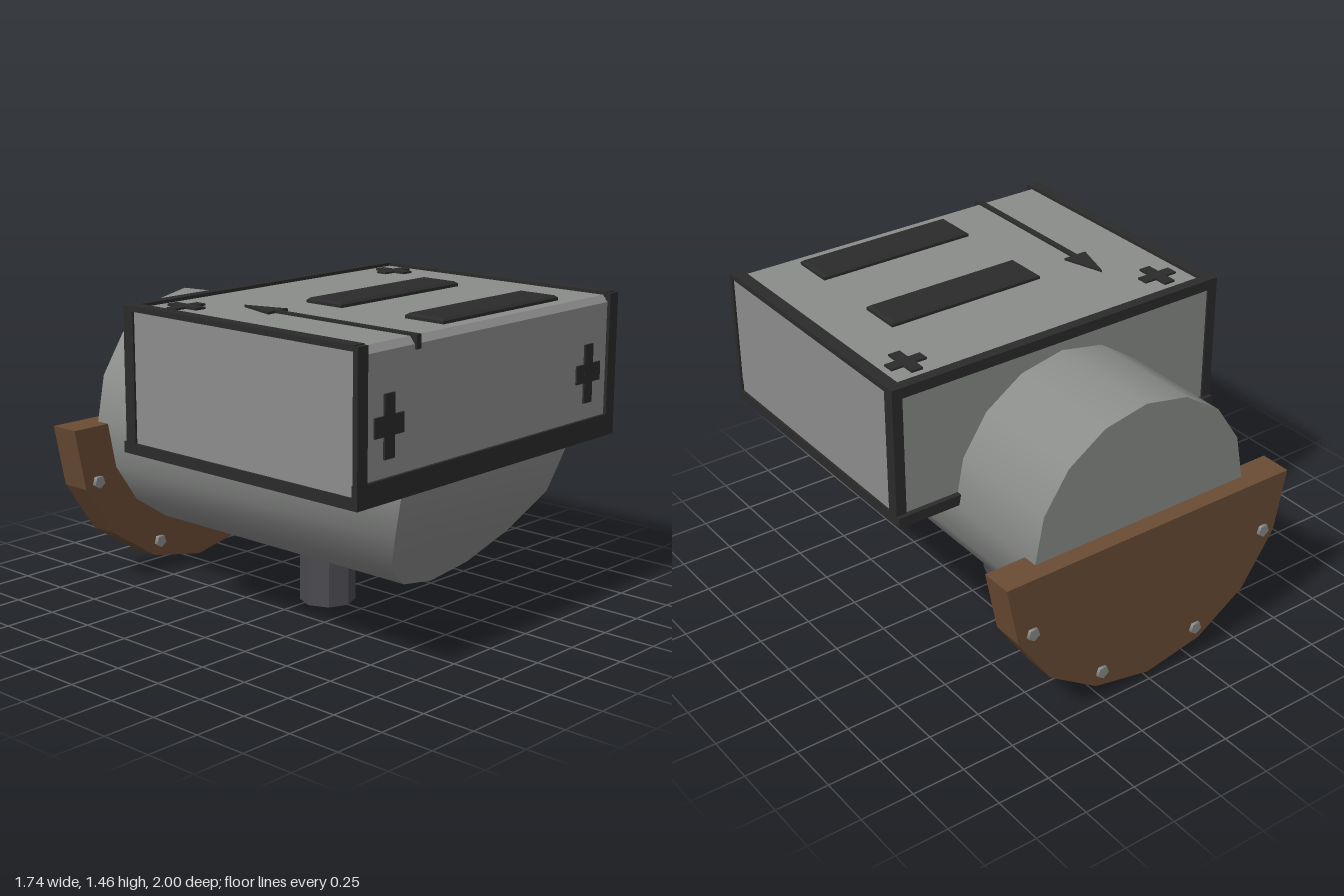
import * as THREE from 'three';
import { toCreasedNormals } from 'three/addons/utils/BufferGeometryUtils.js';

const mat = (name, color) => {
  const m = new THREE.MeshStandardMaterial({ color });
  m.name = name;
  return m;
};

export function createModel() {
  const grey = mat('grey metal', 0x8b8d8b);
  const dark = mat('dark trim', 0x2b2b2b);
  const brown = mat('brown flange', 0x6b4c34);
  const slate = mat('slate drain', 0x4b4a50);
  const model = new THREE.Group();
  model.name = 'housing';

  const add = (name, geometry, material) => {
    const mesh = new THREE.Mesh(geometry, material);
    mesh.name = name;
    model.add(mesh);
    return mesh;
  };
  // Box given by its two corners
  const box = (name, material, x0, x1, y0, y1, z0, z1) => {
    const mesh = add(name, new THREE.BoxGeometry(x1 - x0, y1 - y0, z1 - z0), material);
    mesh.position.set((x0 + x1) / 2, (y0 + y1) / 2, (z0 + z1) / 2);
    return mesh;
  };
  const shape = (pts) => new THREE.Shape(pts.map(([x, y]) => new THREE.Vector2(x, y)));
  const extrude = (pts, depth) => new THREE.ExtrudeGeometry(shape(pts), { depth, bevelEnabled: false });

  // Barrel: 16-sided, with a front end that slopes back towards the bottom
  const N = 16, R = 0.565, CY = 0.795;
  const frontZ = (y) => (y > 0.79 ? 0.965
    : y > 0.58 ? 0.895 + (y - 0.58) * 0.326
      : 0.66 + (y - 0.23) * 0.671);
  const pos = [], idx = [];
  for (let i = 0; i < N; i++) {
    const a = (i / N) * Math.PI * 2;
    const x = R * Math.sin(a), y = CY - R * Math.cos(a);
    pos.push(x, y, frontZ(y), x, y, -0.905);
  }
  const f = (i) => (i % N) * 2, b = (i) => f(i) + 1;
  for (let i = 0; i < N; i++) {
    idx.push(f(i), b(i), b(i + 1), f(i), b(i + 1), f(i + 1));
  }
  for (let k = 0; k < N / 2; k++) {
    const l = N - k;
    if (k < N / 2 - 1) idx.push(f(k), f(k + 1), f(l - 1), b(k), b(l - 1), b(k + 1));
    if (k > 0) idx.push(f(k), f(l - 1), f(l), b(k), b(l), b(l - 1));
  }
  const barrel = new THREE.BufferGeometry();
  barrel.setAttribute('position', new THREE.Float32BufferAttribute(pos, 3));
  barrel.setIndex(idx);
  add('barrel', toCreasedNormals(barrel, 0.6), grey);

  // Half-round flange at the back
  const arc = [];
  for (let i = 0; i <= 8; i++) {
    const a = Math.PI + (i / 8) * Math.PI;
    arc.push([0.765 * Math.cos(a), CY + 0.765 * Math.sin(a)]);
  }
  add('flange', extrude(arc, 0.15), brown).position.z = -0.985;

  // Bolts through the flange
  for (const s of [-1, 1]) {
    for (const [x, y] of [[0.637, 0.53], [0.264, 0.158]]) {
      const bolt = add('bolt', new THREE.CylinderGeometry(0.031, 0.031, 0.185, 5).rotateX(Math.PI / 2), grey);
      bolt.position.set(s * x, y, -0.9075);
    }
  }

  // Octagonal drain stub
  const drain = new THREE.CylinderGeometry(0.13, 0.13, 0.3, 8);
  add('drain', toCreasedNormals(drain, 0.3), slate).position.set(0, 0.15, 0.04);

  // Box cover with a chamfered upper front edge
  const side = [[-0.34, 0.81], [0.985, 0.81], [0.985, 1.41], [0.96, 1.44], [-0.34, 1.44]];
  const cover = extrude(side.map(([z, y]) => [-z, y]), 1.72);
  cover.rotateY(Math.PI / 2).translate(-0.86, 0, 0);
  add('cover', cover, grey);

  // Dark frame along the cover edges
  for (const s of [-1, 1]) {
    const bar = (name, xi, ...r) => box(name, dark, Math.min(s * xi, s * 0.87), Math.max(s * xi, s * 0.87), ...r);
    bar('frontPost', 0.81, 0.8, 1.45, 0.975, 1.0);
    bar('backPost', 0.82, 0.8, 1.455, -0.348, -0.29);
    bar('topSideRail', 0.81, 1.43, 1.455, -0.348, 0.98);
    bar('bottomSideRail', 0.82, 0.8, 0.85, -0.365, 0.995);
  }
  box('frontBottomRail', dark, -0.87, 0.87, 0.8, 0.9, 0.97, 1.0);
  box('backTopRail', dark, -0.87, 0.87, 1.405, 1.455, -0.348, -0.298);
  box('backBottomRail', dark, -0.87, 0.87, 0.8, 0.85, -0.365, -0.31);

  // Plus marks on the front and top
  for (const s of [-1, 1]) {
    const x = s * 0.672, t = s * 0.678;
    box('frontPlusUpright', dark, x - 0.03, x + 0.03, 0.975, 1.24, 0.98, 0.994);
    box('frontPlusBar', dark, x - 0.088, x + 0.088, 1.068, 1.152, 0.98, 0.993);
    box('topPlusUpright', dark, t - 0.028, t + 0.028, 1.435, 1.45, -0.247, -0.07);
    box('topPlusBar', dark, t - 0.088, t + 0.088, 1.435, 1.449, -0.186, -0.132);
  }

  // Arrow on the top, folded over the front edge
  box('arrowShaft', dark, -0.518, -0.49, 1.43, 1.45, 0.21, 0.99);
  box('arrowFold', dark, -0.518, -0.49, 1.39, 1.45, 0.96, 0.995);
  const head = extrude([[-0.564, -0.22], [-0.444, -0.22], [-0.504, -0.02]], 0.015);
  add('arrowHead', head.rotateX(-Math.PI / 2), dark).position.y = 1.436;

  // Bevelled pads on the top
  for (const z of [0.2375, 0.7975]) {
    const pad = new THREE.ExtrudeGeometry(
      shape([[-0.225, -0.09], [0.54, -0.09], [0.54, 0.09], [-0.225, 0.09]]),
      { depth: 0.015, bevelThickness: 0.01, bevelSize: 0.013, bevelSegments: 1 });
    add('pad', pad.rotateX(-Math.PI / 2), dark).position.set(0, 1.438, z);
  }
  return model;
}
